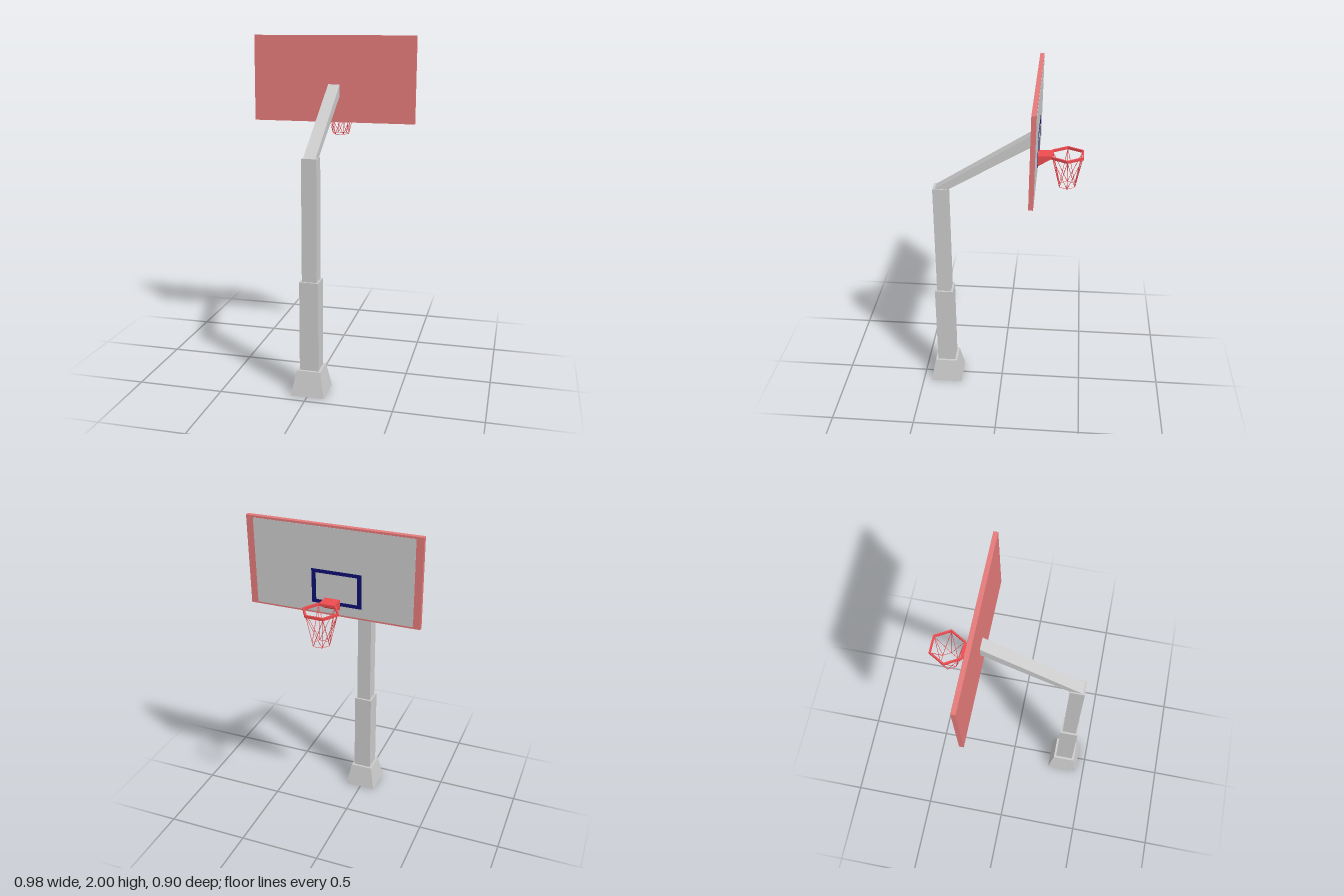
import * as THREE from 'three';

const paint = (color) => new THREE.MeshStandardMaterial({ color, flatShading: true });

export function createModel() {
  const model = new THREE.Group();
  const grey = paint(0xcccccc);
  const frameRed = paint(0xe57a7a);
  const rimRed = paint(0xec4c50);
  const blue = paint(0x101070);
  const CX = 0.003;

  const add = (name, geometry, material, x = 0, y = 0, z = 0, parent = model) => {
    const mesh = new THREE.Mesh(geometry, material);
    mesh.name = name;
    mesh.position.set(x, y, z);
    parent.add(mesh);
    return mesh;
  };

  // Side profile given as [z, y] points, extruded across x
  const sideProfile = (points, width) => {
    const shape = new THREE.Shape(points.map(([z, y]) => new THREE.Vector2(-z, y)));
    return new THREE.ExtrudeGeometry(shape, { depth: width, bevelEnabled: false })
      .translate(0, 0, -width / 2)
      .rotateY(Math.PI / 2);
  };

  // Square post: tapered foot and two stepped sections
  const post = (name, bottom, top, y0, y1) => {
    const geometry = new THREE.CylinderGeometry(top * Math.SQRT1_2, bottom * Math.SQRT1_2, y1 - y0, 4);
    add(name, geometry.rotateY(Math.PI / 4), grey, CX, (y0 + y1) / 2, 0.353);
  };
  post('foot', 0.194, 0.137, 0, 0.145);
  post('lowerPost', 0.109, 0.109, 0.145, 0.667);
  post('upperPost', 0.085, 0.085, 0.667, 1.36);

  // Sloping arm to the board
  add('arm', sideProfile([[0.385, 1.358], [0.308, 1.358], [-0.178, 1.645], [-0.178, 1.715]], 0.07), grey, CX);

  // Backboard, leaning very slightly
  const board = new THREE.Group();
  board.name = 'backboard';
  board.position.set(0, 1.745, -0.19);
  board.rotation.x = -0.014;
  model.add(board);
  add('boardFrame', new THREE.BoxGeometry(0.98, 0.509, 0.025), frameRed, 0, 0, 0, board);
  add('boardPanel', new THREE.BoxGeometry(0.9, 0.487, 0.002), grey, 0, -0.001, -0.0128, board);

  // Target rectangle on the playing face
  const target = new THREE.Shape();
  target.moveTo(-0.142, -0.098).lineTo(0.142, -0.098).lineTo(0.142, 0.098).lineTo(-0.142, 0.098);
  const opening = new THREE.Path();
  opening.moveTo(-0.118, -0.078).lineTo(-0.118, 0.078).lineTo(0.118, 0.078).lineTo(0.118, -0.078);
  target.holes.push(opening);
  add('targetRectangle', new THREE.ExtrudeGeometry(target, { depth: 0.002, bevelEnabled: false }),
    blue, -0.021, -0.093, -0.0155, board);

  // Wedge bracket
  add('rimBracket', sideProfile([[-0.198, 1.59], [-0.198, 1.527], [-0.28, 1.577], [-0.28, 1.59]], 0.087), rimRed, CX);

  // Hexagonal hoop
  const hoop = new THREE.Group();
  hoop.name = 'hoop';
  hoop.position.set(CX, 1.585, -0.364);
  hoop.rotation.x = 0.02;
  model.add(hoop);
  const hexagon = (Type, r) => new Type(Array.from({ length: 6 }, (_, i) =>
    new THREE.Vector2(r * Math.cos(i * Math.PI / 3), r * Math.sin(i * Math.PI / 3))));
  const ring = hexagon(THREE.Shape, 0.103);
  ring.holes.push(hexagon(THREE.Path, 0.092));
  add('rim', new THREE.ExtrudeGeometry(ring, { depth: 0.015, bevelEnabled: false })
    .rotateX(-Math.PI / 2).translate(0, -0.0075, 0), rimRed, 0, 0, 0, hoop);

  // Net: straight and crossing strands, tied by a lower ring
  const knot = (i, r, y) =>
    new THREE.Vector3(r * Math.cos(i * Math.PI / 3), y, r * Math.sin(i * Math.PI / 3));
  const strand = (a, b) =>
    add('netStrand', new THREE.TubeGeometry(new THREE.LineCurve3(a, b), 1, 0.0015, 4), rimRed, 0, 0, 0, hoop);
  for (let i = 0; i < 6; i++) {
    for (const step of [-1, 0, 1]) strand(knot(i, 0.094, -0.005), knot(i + step, 0.05, -0.187));
    strand(knot(i, 0.05, -0.187), knot(i + 1, 0.05, -0.187));
  }
  return model;
}
